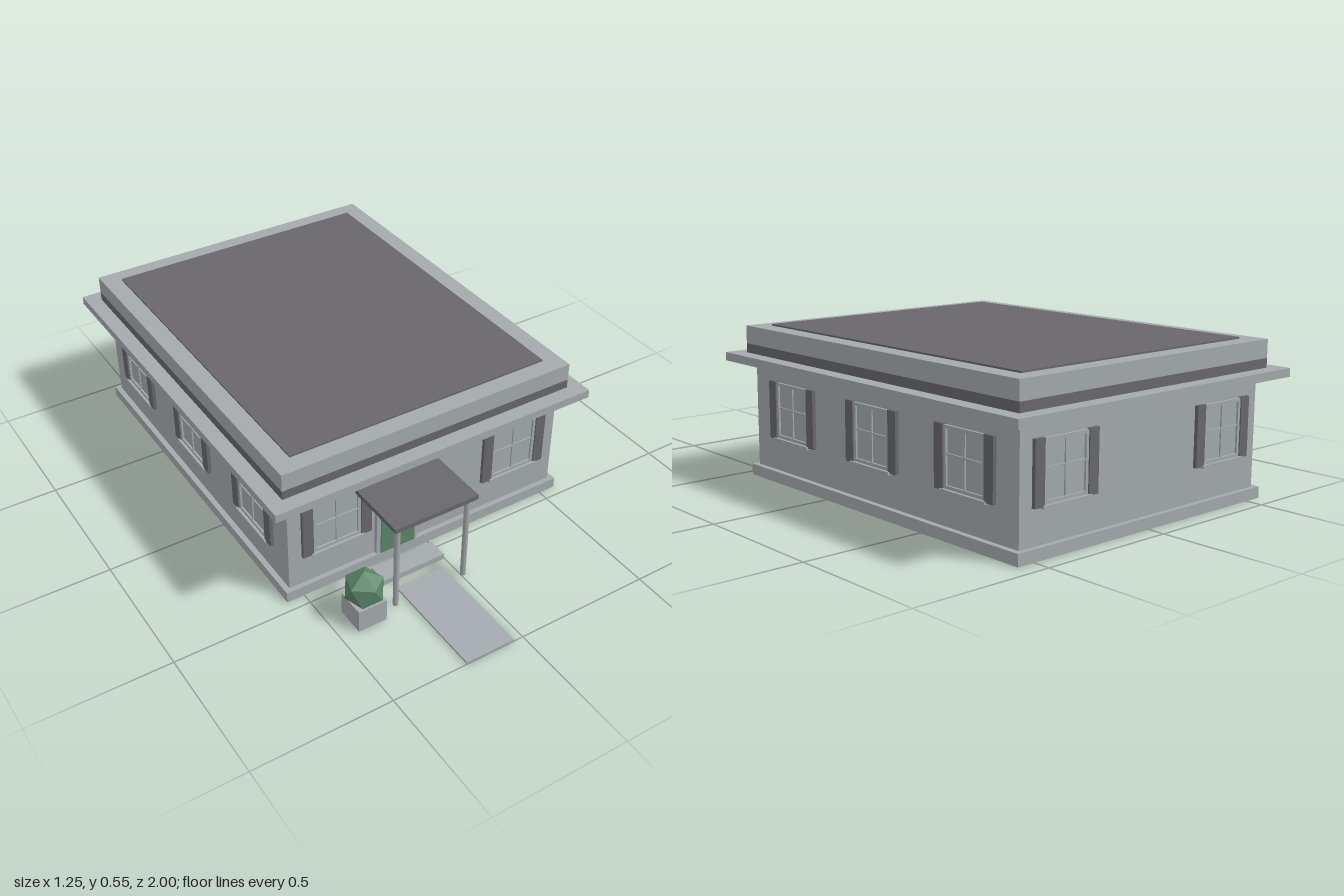
import * as THREE from 'three';

export function createModel() {
  const house = new THREE.Group();
  house.name = 'house';

  const mat = (name, color) => {
    const m = new THREE.MeshStandardMaterial({ color });
    m.name = name;
    return m;
  };
  const stone = mat('pale grey', 0xa4aaad);
  const slate = mat('dark grey', 0x69676c);
  const green = mat('green', 0x5b8768);

  const add = (parent, name, geometry, material) => {
    const mesh = new THREE.Mesh(geometry, material);
    mesh.name = name;
    parent.add(mesh);
    return mesh;
  };
  // Box given by its low and high corners
  const box = (parent, name, [x0, y0, z0], [x1, y1, z1], material) => {
    const mesh = add(parent, name, new THREE.BoxGeometry(x1 - x0, y1 - y0, z1 - z0), material);
    mesh.position.set((x0 + x1) / 2, (y0 + y1) / 2, (z0 + z1) / 2);
    return mesh;
  };

  // Stacked slabs of the building: half width, half depth, bottom, top
  const midZ = -0.24;
  const slabs = [
    ['foundation', 0.565, 0.7, 0, 0.04, stone],
    ['walls', 0.545, 0.682, 0.04, 0.42, stone],
    ['eave', 0.625, 0.76, 0.42, 0.45, stone],
    ['roofBand', 0.57, 0.705, 0.45, 0.483, slate],
    ['parapet', 0.57, 0.705, 0.483, 0.547, stone],
    ['roofDeck', 0.503, 0.64, 0.547, 0.553, slate],
  ];
  for (const [name, w, d, y0, y1, m] of slabs) {
    box(house, name, [-w, y0, midZ - d], [w, y1, midZ + d], m);
  }

  // Window facing +z, its origin on the wall at ground level
  const makeWindow = () => {
    const g = new THREE.Group();
    g.name = 'window';
    const w = 0.092, b = 0.162, t = 0.36, f = 0.011;
    box(g, 'glass', [-w, b, 0], [w, t, 0.002], stone);
    for (const s of [-1, 1]) {
      const jamb = box(g, 'frameSide', [-f / 2, b, 0], [f / 2, t, 0.009], stone);
      jamb.position.x = s * (w - f / 2);
      const shutter = box(g, 'shutter', [-0.02, 0.157, 0], [0.02, 0.363, 0.013], slate);
      shutter.position.x = s * 0.1125;
    }
    box(g, 'frameTop', [-w + f, t - f, 0], [w - f, t, 0.009], stone);
    box(g, 'frameBottom', [-w + f, b, 0], [w - f, b + f, 0.009], stone);
    box(g, 'verticalBar', [-0.003, b + f, 0], [0.003, t - f, 0.007], stone);
    box(g, 'horizontalBar', [-w + f, 0.267, 0], [w - f, 0.273, 0.007], stone);
    box(g, 'sill', [-0.102, 0.152, 0], [0.102, 0.162, 0.019], stone);
    return g;
  };
  const placeWindow = (x, z, turn) => {
    const g = makeWindow();
    g.position.set(x, 0, z);
    g.rotation.y = turn;
    house.add(g);
  };
  for (const x of [-0.3625, 0.3625]) {
    placeWindow(x, midZ + 0.682, 0);
    placeWindow(x, midZ - 0.682, Math.PI);
  }
  for (const z of [0.2125, -0.24, -0.6925]) {
    placeWindow(0.545, z, Math.PI / 2);
    placeWindow(-0.545, z, -Math.PI / 2);
  }

  // Front door with its frame and knob
  const entrance = new THREE.Group();
  entrance.name = 'entrance';
  house.add(entrance);
  box(entrance, 'doorFrameRight', [-0.21, 0.04, 0.44], [-0.194, 0.298, 0.456], stone);
  box(entrance, 'doorFrameLeft', [-0.057, 0.04, 0.44], [-0.045, 0.298, 0.456], stone);
  box(entrance, 'doorFrameTop', [-0.194, 0.287, 0.44], [-0.057, 0.298, 0.456], stone);
  box(entrance, 'door', [-0.194, 0.04, 0.44], [-0.057, 0.287, 0.46], green);
  const knob = add(entrance, 'doorKnob', new THREE.SphereGeometry(0.006, 10, 8), slate);
  knob.position.set(-0.087, 0.137, 0.463);

  // Canopy on two posts, step and path
  box(entrance, 'canopy', [-0.29, 0.34, 0.44], [0.033, 0.357, 0.685], slate);
  for (const x of [-0.265, 0.009]) {
    const post = add(entrance, 'canopyPost', new THREE.CylinderGeometry(0.01, 0.01, 0.34, 12), stone);
    post.position.set(x, 0.17, 0.658);
  }
  box(entrance, 'step', [-0.25, 0, 0.487], [-0.003, 0.021, 0.563], stone);
  box(entrance, 'path', [-0.222, 0, 0.6], [-0.035, 0.007, 1], stone);

  // Planter with a faceted bush, one corner pointing up
  box(house, 'planter', [-0.435, 0, 0.592], [-0.328, 0.085, 0.7], stone);
  const bushShape = new THREE.IcosahedronGeometry(0.0725, 0);
  bushShape.rotateX(-Math.atan((1 + Math.sqrt(5)) / 2));
  const bush = add(house, 'bush', bushShape, green);
  bush.position.set(-0.381, 0.124, 0.645);

  return house;
}
